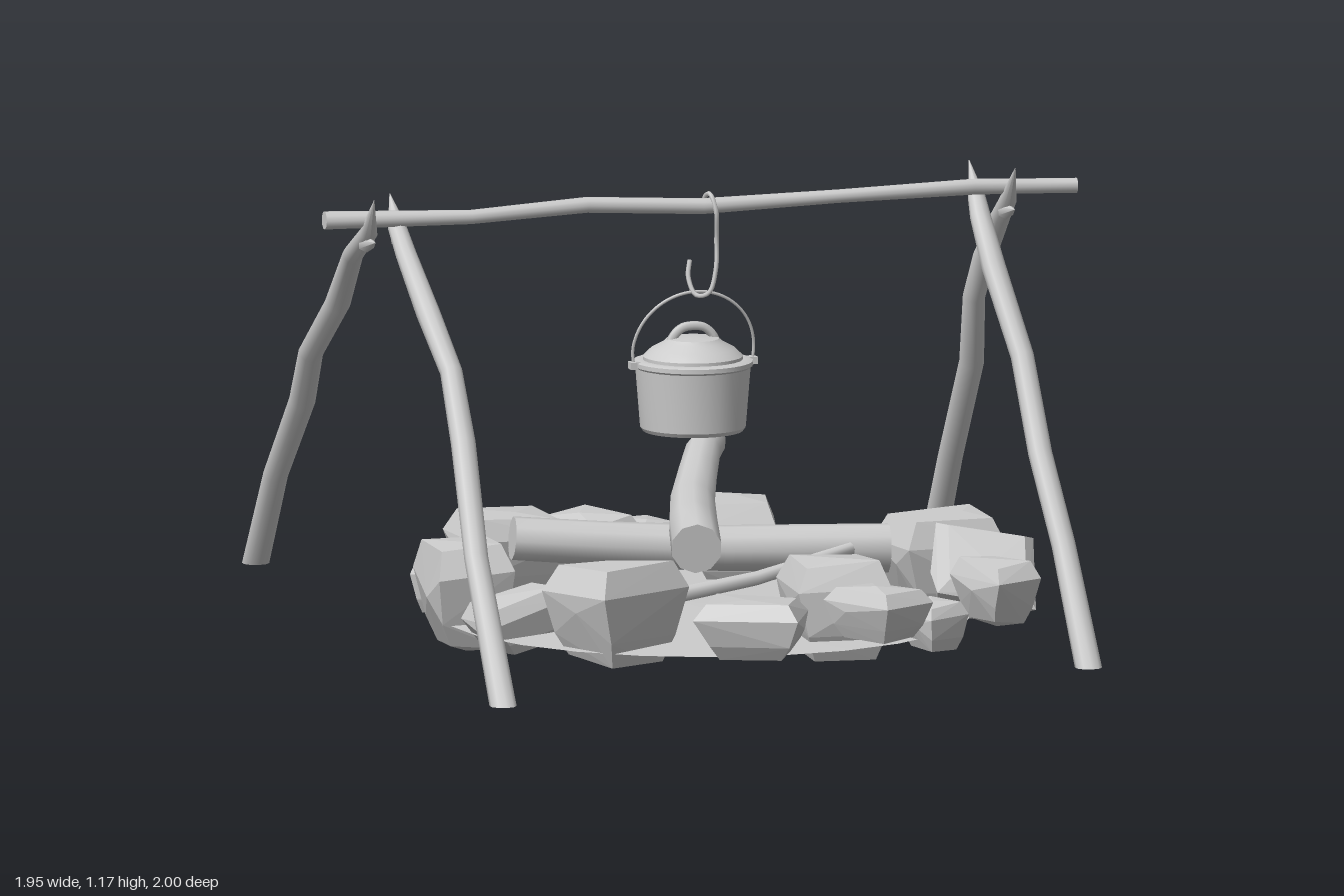
import * as THREE from 'three';
import { toCreasedNormals } from 'three/addons/utils/BufferGeometryUtils.js';
import { ConvexGeometry } from 'three/addons/geometries/ConvexGeometry.js';

const grey = new THREE.MeshStandardMaterial({ color: 0xcccccc, side: THREE.DoubleSide });

let seed = 7;
function rand() {
  seed = (seed * 16807) % 2147483647;
  return seed / 2147483647;
}

function mesh(name, geometry, parent) {
  const m = new THREE.Mesh(geometry, grey);
  m.name = name;
  parent.add(m);
  return m;
}

// Crooked branch: rings of varying radius along points [x, y, z, r], capped at both ends.
// levelFoot cuts the first end horizontally.
function branch(points, sides = 10, levelFoot = false) {
  const P = points.map(p => new THREE.Vector3(p[0], p[1], p[2]));
  const n = P.length;
  const axis = P[n - 1].clone().sub(P[0]).normalize();
  const ref = Math.abs(axis.x) > 0.7 ? new THREE.Vector3(0, 1, 0) : new THREE.Vector3(1, 0, 0);
  const pos = [], index = [];
  const ring = i => {
    const t = P[Math.min(i + 1, n - 1)].clone().sub(P[Math.max(i - 1, 0)]).normalize();
    if (levelFoot && i === 0) t.set(0, 1, 0);
    const u = ref.clone().cross(t).normalize();
    const v = t.clone().cross(u);
    for (let j = 0; j < sides; j++) {
      const a = (j / sides) * Math.PI * 2;
      const q = P[i].clone()
        .addScaledVector(u, Math.cos(a) * points[i][3])
        .addScaledVector(v, Math.sin(a) * points[i][3]);
      pos.push(q.x, q.y, q.z);
    }
  };
  for (let i = 0; i < n; i++) ring(i);
  for (let i = 0; i < n - 1; i++) {
    for (let j = 0; j < sides; j++) {
      const a = i * sides + j, b = i * sides + (j + 1) % sides;
      index.push(a, b, a + sides, b, b + sides, a + sides);
    }
  }
  for (const i of [0, n - 1]) {
    const s = pos.length / 3;
    ring(i);
    for (let j = 1; j < sides - 1; j++) {
      if (i === 0) index.push(s, s + j + 1, s + j);
      else index.push(s, s + j, s + j + 1);
    }
  }
  const g = new THREE.BufferGeometry();
  g.setAttribute('position', new THREE.Float32BufferAttribute(pos, 3));
  g.setIndex(index);
  g.computeVertexNormals();
  return g;
}

// Broken stone: hull of a box with unevenly cut corners, narrower at the bottom
function stone(hx, hy, hz) {
  const pts = [];
  const jit = s => s * (0.82 + 0.22 * rand());
  for (const sx of [-1, 1]) for (const sy of [-1, 1]) for (const sz of [-1, 1]) {
    const taper = sy < 0 ? 0.82 : 1;
    const kx = sx * jit(hx) * taper, ky = sy * jit(hy), kz = sz * jit(hz) * taper;
    pts.push(new THREE.Vector3(kx, ky * 0.45, kz * 0.97));
    pts.push(new THREE.Vector3(kx * 0.78, ky * 0.95, kz * 0.75));
  }
  for (const s of [-1, 1]) {
    pts.push(new THREE.Vector3(hx * 0.8 * (rand() - 0.5), s * hy * 0.97, hz * 0.8 * (rand() - 0.5)));
    pts.push(new THREE.Vector3(s * hx * 0.98, hy * 0.1, hz * (rand() - 0.5)));
  }
  return new ConvexGeometry(pts);
}

function wire(points, radius, segments) {
  const curve = new THREE.CatmullRomCurve3(points.map(p => new THREE.Vector3(...p)));
  return new THREE.TubeGeometry(curve, segments, radius, 6);
}

function lathe(profile) {
  const g = new THREE.LatheGeometry(profile.map(p => new THREE.Vector2(...p)), 28);
  return toCreasedNormals(g, 0.5);
}

export function createModel() {
  const model = new THREE.Group();
  model.name = 'campfire';

  // Four sharpened legs leaning together in pairs
  const legs = {
    frontRightLeg: [[-0.783, 0.025, 0.962, 0.034], [-0.785, 0.36, 0.73, 0.03], [-0.765, 0.62, 0.545, 0.031],
      [-0.76, 0.78, 0.42, 0.028], [-0.785, 0.91, 0.3, 0.03], [-0.79, 1.03, 0.12, 0.026], [-0.785, 1.085, 0.02, 0.023], [-0.79, 1.16, -0.025, 0.001]],
    backRightLeg: [[-0.865, 0.08, -0.965, 0.034], [-0.868, 0.335, -0.775, 0.031], [-0.86, 0.555, -0.565, 0.033],
      [-0.88, 0.7, -0.42, 0.031], [-0.86, 0.85, -0.25, 0.032], [-0.87, 1.0, -0.08, 0.026], [-0.867, 1.075, 0.05, 0.023], [-0.867, 1.165, 0.1, 0.001]],
    frontLeftLeg: [[0.79, 0.018, 0.77, 0.034], [0.775, 0.3, 0.6, 0.03], [0.755, 0.51, 0.46, 0.03],
      [0.755, 0.73, 0.3, 0.029], [0.715, 0.94, 0.18, 0.03], [0.71, 1.05, 0.08, 0.026], [0.715, 1.09, 0.03, 0.022], [0.71, 1.175, -0.02, 0.001]],
    backLeftLeg: [[0.795, 0.018, -0.685, 0.034], [0.795, 0.35, -0.48, 0.031], [0.795, 0.62, -0.29, 0.031],
      [0.775, 0.8, -0.2, 0.028], [0.785, 0.91, -0.14, 0.029], [0.795, 1.03, -0.03, 0.025], [0.793, 1.08, 0.04, 0.022], [0.795, 1.17, 0.1, 0.001]],
  };
  for (const [name, pts] of Object.entries(legs)) {
    mesh(name, branch(pts, 10, true), model);
    const [x, y, z] = pts[6];
    const side = Math.sign(pts[7][2] - z);
    mesh(name + 'Splinter', branch([[x, y - 0.03, z - side * 0.02, 0.022], [x, y - 0.015, z + side * 0.06, 0.001]], 6), model);
  }

  // Crossbar
  mesh('crossbar', branch([[-0.98, 1.112, 0.045, 0.023], [-0.6, 1.103, 0.045, 0.018], [-0.3, 1.12, 0.047, 0.02],
    [0, 1.102, 0.043, 0.02], [0.35, 1.112, 0.05, 0.017], [0.7, 1.12, 0.053, 0.02], [0.83, 1.112, 0.03, 0.019], [0.97, 1.11, 0.047, 0.019]]), model);

  // Hook and hanging pot
  mesh('hook', wire([[0.01, 1.085, 0.012], [0.015, 1.12, 0.015], [0.02, 1.132, 0.045], [0.03, 1.09, 0.065], [0.035, 1.02, 0.05],
    [0.03, 0.94, 0.06], [0.012, 0.885, 0.06], [-0.015, 0.878, 0.04], [-0.028, 0.92, 0.015], [-0.02, 0.96, 0]], 0.006, 48), model);

  const pot = new THREE.Group();
  pot.name = 'pot';
  pot.position.set(-0.01, 0, -0.005);
  model.add(pot);
  mesh('potBody', lathe([[0, 0.53], [0.125, 0.53], [0.132, 0.54], [0.144, 0.69], [0.15, 0.695], [0.15, 0.706], [0.138, 0.71], [0.125, 0.71]]), pot);
  mesh('lid', lathe([[0.125, 0.708], [0.125, 0.718], [0.105, 0.737], [0.075, 0.753], [0.065, 0.762], [0.035, 0.766], [0, 0.768]]), pot);
  mesh('lidHandle', wire([[-0.06, 0.75, 0], [-0.048, 0.772, 0], [-0.025, 0.79, 0], [0.025, 0.79, 0], [0.048, 0.772, 0], [0.06, 0.75, 0]], 0.012, 18), pot);
  const bail = [];
  for (let i = 0; i <= 14; i++) {
    const a = Math.PI * (-0.06 + 1.12 * i / 14);
    bail.push([0.157 * Math.cos(a), 0.73 + 0.155 * Math.sin(a), 0.035 * Math.max(0, Math.sin(a))]);
  }
  mesh('bail', wire(bail, 0.004, 48), pot);
  for (const s of [-1, 1]) {
    mesh('bailEar', new THREE.BoxGeometry(0.025, 0.018, 0.03), pot).position.set(s * 0.152, 0.7, 0);
  }

  // Shallow ash bed
  const bed = mesh('ashBed', new THREE.CylinderGeometry(0.03, 0.665, 0.02, 24, 1), model);
  bed.position.set(0, 0.09, 0.075);

  // Firewood
  mesh('topLog', branch([[-0.085, 0.28, 0.285, 0.064], [-0.04, 0.31, 0.1, 0.062], [0.01, 0.33, -0.08, 0.058],
    [0.08, 0.375, -0.27, 0.05], [0.125, 0.41, -0.38, 0.045], [0.165, 0.42, -0.46, 0.042]], 10), model);
  mesh('crossLog', branch([[-0.43, 0.25, -0.17, 0.055], [-0.2, 0.23, -0.145, 0.056], [0.1, 0.21, -0.11, 0.058], [0.51, 0.2, -0.055, 0.062]], 10), model);
  mesh('thinStick', branch([[-0.3, 0.11, 0.29, 0.017], [-0.16, 0.15, 0.235, 0.02], [0.1, 0.18, 0.18, 0.018], [0.37, 0.23, 0.1, 0.016]], 8), model);

  // Ring of stones: x, y, z, half sizes, pitch, yaw, roll
  const stones = [
    [-0.37, 0.17, -0.43, 0.14, 0.11, 0.12, 0, 0.1, 0], [-0.11, 0.145, -0.59, 0.09, 0.095, 0.12, 0.1, 0.5, 0.1],
    [0.05, 0.14, -0.63, 0.065, 0.07, 0.075, 0, 0.4, 0], [0.23, 0.155, -0.46, 0.11, 0.125, 0.135, 0, -0.2, 0],
    [0.44, 0.13, -0.36, 0.085, 0.075, 0.11, -0.1, -0.5, 0.1], [0.65, 0.155, -0.04, 0.145, 0.135, 0.13, 0, 0.1, 0],
    [0.68, 0.17, 0.21, 0.135, 0.06, 0.13, 0.65, -0.3, 0], [0.65, 0.16, 0.41, 0.075, 0.085, 0.105, 0, 0.4, 0],
    [0.44, 0.11, 0.58, 0.065, 0.065, 0.07, 0, 0.5, 0], [0.22, 0.155, 0.48, 0.125, 0.13, 0.14, 0, 0, 0],
    [0.25, 0.18, 0.77, 0.085, 0.075, 0.12, 0, 0.5, 0], [-0.06, 0.145, 0.71, 0.135, 0.08, 0.125, 0, -0.45, 0],
    [-0.35, 0.165, 0.49, 0.145, 0.13, 0.125, 0, 0.5, 0], [-0.53, 0.11, 0.23, 0.12, 0.075, 0.09, 0, 0.3, 0.25],
    [-0.6, 0.145, 0, 0.115, 0.14, 0.13, 0, 0, 0.1], [-0.59, 0.13, -0.25, 0.07, 0.075, 0.075, 0, -0.4, 0],
  ];
  for (const [x, y, z, hx, hy, hz, pitch, yaw, roll] of stones) {
    const s = mesh('stone', stone(hx, hy, hz), model);
    s.position.set(x, y, z);
    s.rotation.set(pitch, yaw, roll);
  }
  return model;
}
